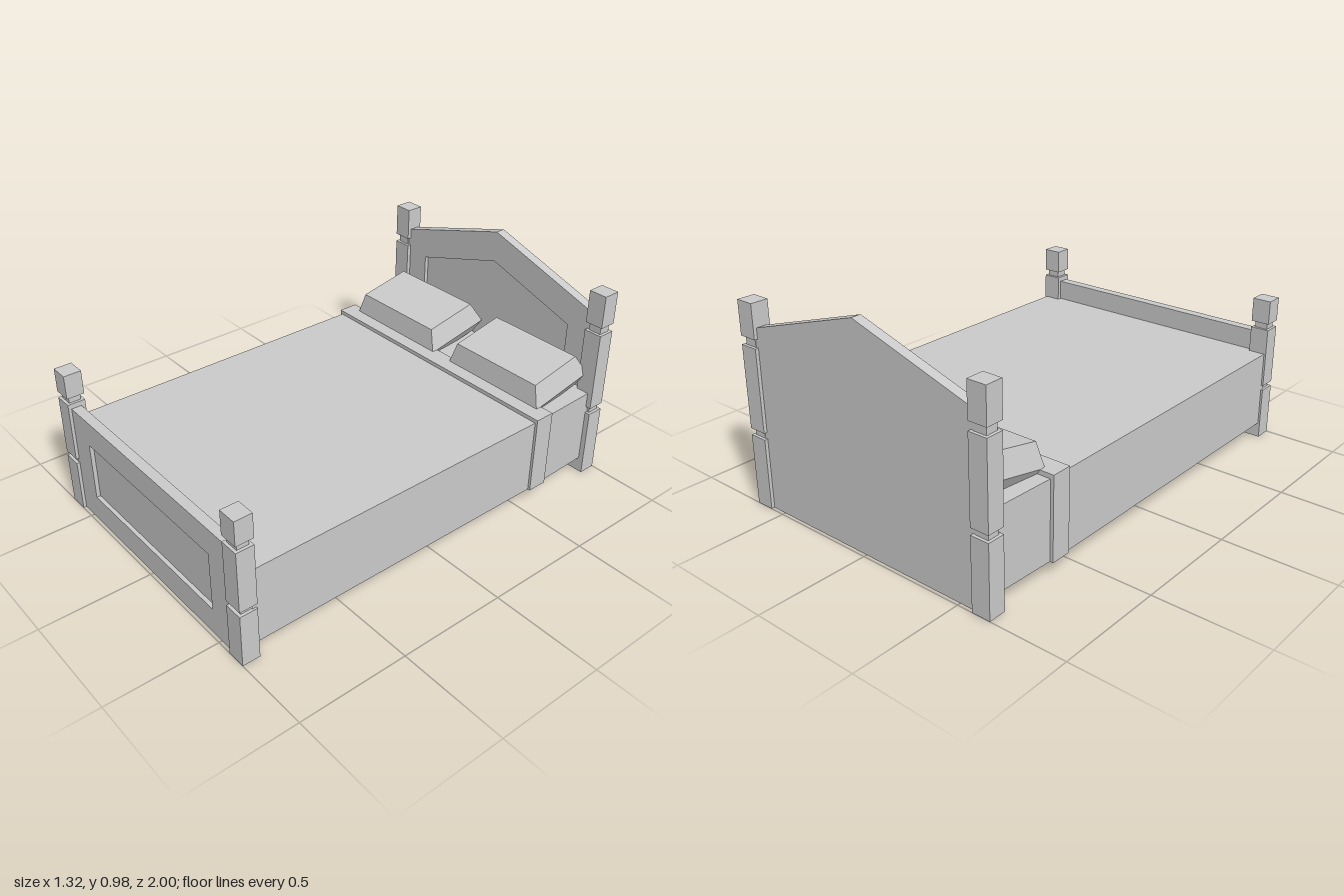
import * as THREE from 'three';

const mat = new THREE.MeshStandardMaterial({ color: 0xcccccc, flatShading: true });
const sheetMat = new THREE.MeshStandardMaterial({ color: 0xcccccc, flatShading: true, side: THREE.DoubleSide });

function add(parent, name, geometry, x = 0, y = 0, z = 0, material = mat) {
  const mesh = new THREE.Mesh(geometry, material);
  mesh.name = name;
  mesh.position.set(x, y, z);
  parent.add(mesh);
  return mesh;
}

const toPoints = (list) => list.map(([x, y]) => new THREE.Vector2(x, y));

// Square post: wide blocks separated by narrower necks
function makePost(name, levels) {
  const post = new THREE.Group();
  post.name = name;
  for (let i = 0; i < levels.length - 1; i++) {
    const neck = i % 2 === 1;
    const h = levels[i + 1] - levels[i];
    const inset = neck ? 0.026 : 0;
    add(post, neck ? 'postNeck' : 'postBlock',
      new THREE.BoxGeometry(0.086 - inset, h, 0.08 - inset), 0, levels[i] + h / 2, 0);
  }
  return post;
}

// Board with a recessed front panel: framed front layer on a plain back layer
function makeBoard(name, outline, recess, thickness, depth) {
  const board = new THREE.Group();
  board.name = name;
  const extrude = (shape, d) => new THREE.ExtrudeGeometry(shape, { depth: d, bevelEnabled: false });
  const frame = new THREE.Shape(toPoints(outline));
  frame.holes.push(new THREE.Path(toPoints(recess)));
  add(board, name + 'Back', extrude(new THREE.Shape(toPoints(outline)), thickness - depth));
  add(board, name + 'Frame', extrude(frame, depth), 0, 0, thickness - depth);
  return board;
}

// Cloth hanging over both sides, lofted along z through [z, halfWidth] sections
function drapeGeometry(sections, bottom, top) {
  const ring = ([z, w]) => [[-w, bottom, z], [-w, top, z], [w, top, z], [w, bottom, z]];
  const pos = [];
  for (let s = 0; s < sections.length - 1; s++) {
    const a = ring(sections[s]), b = ring(sections[s + 1]);
    for (let i = 0; i < 3; i++) {
      pos.push(...a[i], ...a[i + 1], ...b[i + 1], ...a[i], ...b[i + 1], ...b[i]);
    }
  }
  const g = new THREE.BufferGeometry();
  g.setAttribute('position', new THREE.Float32BufferAttribute(pos, 3));
  g.computeVertexNormals();
  return g;
}

// Pillow: box widest at its middle seam, tapering to the top and bottom faces
function pillowGeometry(w, d, up, down) {
  const g = new THREE.BoxGeometry(w, 2, d, 1, 2, 1);
  const p = g.attributes.position;
  for (let i = 0; i < p.count; i++) {
    const y = p.getY(i);
    if (y === 0) continue;
    p.setXYZ(i, p.getX(i) - Math.sign(p.getX(i)) * 0.032,
      y > 0 ? up : -down, p.getZ(i) - Math.sign(p.getZ(i)) * 0.035);
  }
  g.computeVertexNormals();
  return g;
}

export function createModel() {
  const bed = new THREE.Group();
  bed.name = 'bed';

  // Headboard with a gabled top and gabled recess
  const headboard = makeBoard('headboard',
    [[-0.59, 0], [0.59, 0], [0.59, 0.8], [0, 0.982], [-0.59, 0.8]],
    [[-0.46, 0.13], [-0.46, 0.692], [0, 0.835], [0.46, 0.692], [0.46, 0.13]],
    0.046, 0.02);
  headboard.position.z = -0.985;
  bed.add(headboard);

  // Footboard with a rectangular recess on its outer face
  const footboard = makeBoard('footboard',
    [[-0.59, 0], [0.59, 0], [0.59, 0.517], [-0.59, 0.517]],
    [[-0.448, 0.125], [-0.448, 0.396], [0.448, 0.396], [0.448, 0.125]],
    0.046, 0.018);
  footboard.position.z = 0.94;
  bed.add(footboard);

  // Blanket shell, narrowing slightly as the bare sheet near the headboard
  add(bed, 'blanket', drapeGeometry([[0.94, 0.648], [-0.6, 0.648]], 0.07, 0.422), 0, 0, 0, sheetMat);
  add(bed, 'sheet', drapeGeometry([[-0.6, 0.646], [-0.94, 0.632]], 0.07, 0.42), 0, 0, 0, sheetMat);

  // Folded blanket edge wrapping over the bed
  const fold = new THREE.Shape(toPoints([
    [-0.66, 0.07], [-0.645, 0.07], [-0.645, 0.418], [0.645, 0.418],
    [0.645, 0.07], [0.66, 0.07], [0.66, 0.44], [-0.66, 0.44]]));
  add(bed, 'blanketFold',
    new THREE.ExtrudeGeometry(fold, { depth: 0.095, bevelEnabled: false }), 0, 0, -0.65);

  // Posts and pillows on both sides
  for (const [side, s] of [['left', 1], ['right', -1]]) {
    const head = makePost(side + 'HeadPost', [0, 0.32, 0.35, 0.72, 0.758, 0.91]);
    head.position.set(s * 0.614, 0, -0.96);
    const foot = makePost(side + 'FootPost', [0, 0.242, 0.264, 0.54, 0.57, 0.68]);
    foot.position.set(s * 0.614, 0, 0.96);
    bed.add(head, foot);

    const pillow = add(bed, side + 'Pillow', pillowGeometry(0.54, 0.33, 0.1, 0.055),
      s * 0.325, 0.468, -0.782);
    pillow.rotation.x = 0.2;
  }
  return bed;
}
